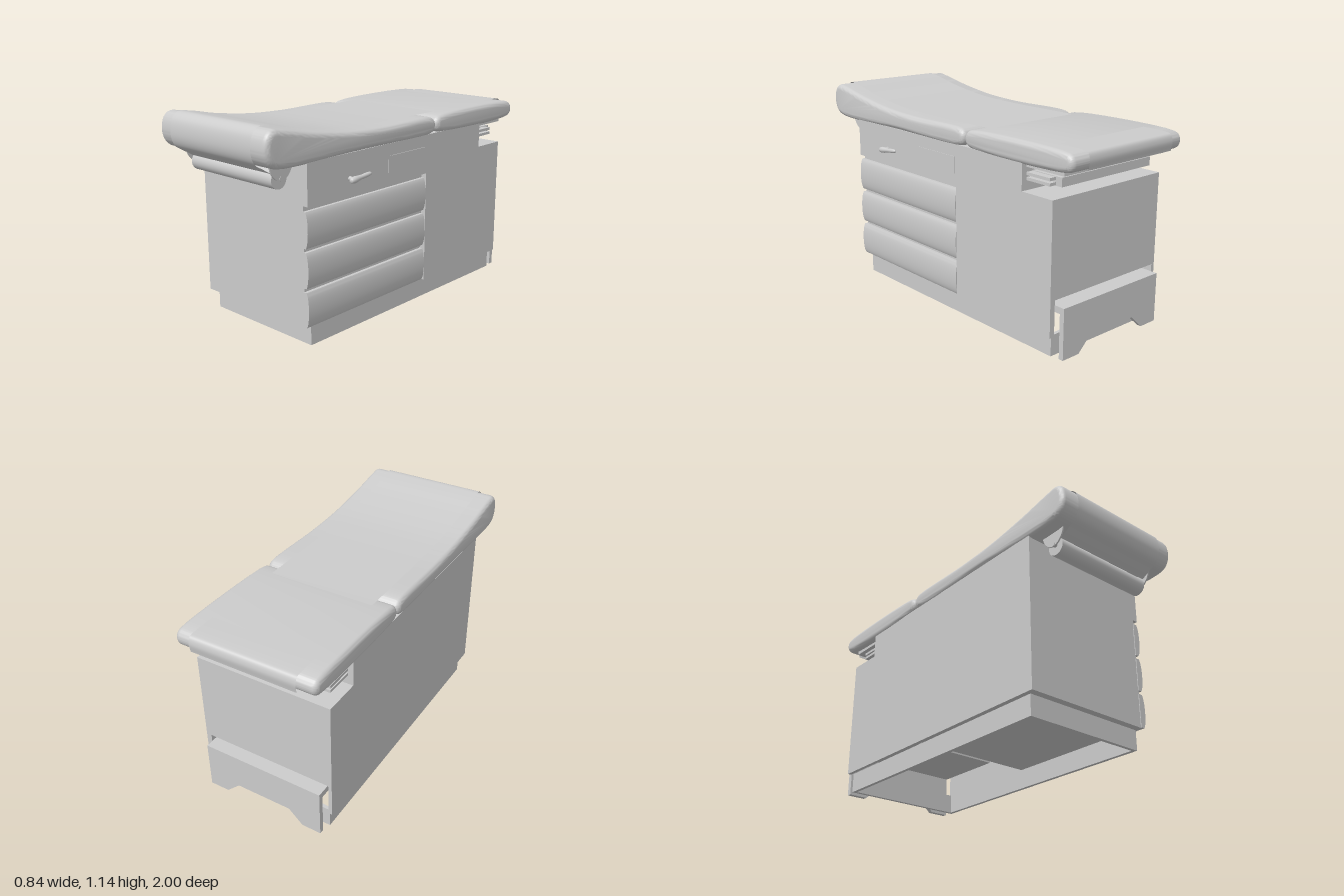
import * as THREE from 'three';
import { toCreasedNormals } from 'three/addons/utils/BufferGeometryUtils.js';

const grey = new THREE.MeshStandardMaterial({ color: 0xcccccc });
const thin = new THREE.MeshStandardMaterial({ color: 0xcccccc, side: THREE.DoubleSide });

export function createModel() {
  const group = new THREE.Group();

  const add = (name, geometry, material = grey) => {
    const mesh = new THREE.Mesh(geometry, material);
    mesh.name = name;
    group.add(mesh);
    return mesh;
  };
  // Box given by its limits on each axis
  const box = (name, x0, x1, y0, y1, z0, z1) =>
    add(name, new THREE.BoxGeometry(x1 - x0, y1 - y0, z1 - z0)
      .translate((x0 + x1) / 2, (y0 + y1) / 2, (z0 + z1) / 2));
  const toShape = (pts) => new THREE.Shape(pts.map(([a, b]) => new THREE.Vector2(a, b)));
  const smooth = (pts, closed, n) =>
    new THREE.CatmullRomCurve3(pts.map(([a, b]) => new THREE.Vector3(a, b, 0)), closed, 'centripetal')
      .getPoints(n).map((p) => [p.x, p.y]);
  // Side profile of [z, y] points, extruded across x
  const across = (name, pts, x0, x1, bevel = 0) => {
    const g = new THREE.ExtrudeGeometry(toShape(pts), {
      depth: x1 - x0 - 2 * bevel, bevelEnabled: bevel > 0,
      bevelSize: bevel, bevelThickness: bevel, bevelSegments: 6,
    });
    g.rotateY(-Math.PI / 2).translate(x1 - bevel, 0, 0);
    return add(name, toCreasedNormals(g, 0.7));
  };

  // Cabinet core, with a compartment at the lower back for the step
  across('cabinetCore', [[0.74, 0.11], [0.74, 0.945], [-0.655, 0.945], [-0.655, 0.8],
    [-0.86, 0.8], [-0.86, 0.3], [-0.15, 0.3], [-0.15, 0.11]], -0.39, 0.34);
  // Side panels; the drawer side leaves the drawer bay open
  across('plainSidePanel', [[0.74, 0.11], [0.74, 0.945], [-0.655, 0.945], [-0.655, 0.8],
    [-0.86, 0.8], [-0.86, 0.11]], -0.41, -0.39);
  across('drawerSidePanel', [[0.74, 0.73], [0.74, 0.945], [-0.655, 0.945], [-0.655, 0.8],
    [-0.86, 0.8], [-0.86, 0.11], [-0.16, 0.11], [-0.16, 0.73]], 0.34, 0.37);
  box('controlPanel', 0.365, 0.373, 0.79, 0.88, -0.15, 0.16);

  // Hollow plinth
  box('plinthSide', 0.32, 0.34, 0, 0.11, -0.84, 0.7);
  box('plinthSide', -0.383, -0.363, 0, 0.11, -0.84, 0.7);
  box('plinthFront', -0.363, 0.32, 0, 0.11, 0.68, 0.7);
  box('plinthBack', -0.363, 0.32, 0, 0.11, -0.84, -0.82);

  // Three drawers with bowed fronts
  for (let i = 0; i < 3; i++) {
    const y = 0.112 + i * 0.204, h = 0.184;
    const s = new THREE.Shape();
    s.moveTo(0.335, y);
    s.lineTo(0.357, y);
    s.bezierCurveTo(0.378, y + 0.03, 0.378, y + h - 0.03, 0.357, y + h);
    s.lineTo(0.335, y + h);
    const g = new THREE.ExtrudeGeometry(s, { depth: 0.9, bevelEnabled: false, curveSegments: 16 });
    add('drawer', toCreasedNormals(g.translate(0, 0, -0.156), 0.6));
  }

  // Lever handle above the drawers
  add('handleStem', new THREE.CylinderGeometry(0.009, 0.012, 0.045, 16)
    .rotateZ(-Math.PI / 2).translate(0.385, 0.817, 0.45));
  const lever = new THREE.LatheGeometry(
    smooth([[0, -0.025], [0.012, -0.02], [0.017, 0], [0.012, 0.05], [0.009, 0.12], [0, 0.13]], false, 24)
      .map(([r, y]) => new THREE.Vector2(Math.max(0, r), y)), 16);
  const handle = add('handleLever', lever);
  handle.rotation.x = -Math.PI / 2 + 0.1;
  handle.position.set(0.403, 0.815, 0.455);

  // Pull-out step at the back, with a notched front board
  box('stepTread', -0.37, 0.33, 0.235, 0.27, -0.9, -0.45);
  const board = toShape([[-0.37, 0], [-0.26, 0], [-0.18, 0.075], [0.14, 0.075],
    [0.22, 0], [0.33, 0], [0.33, 0.27], [-0.37, 0.27]]);
  add('stepBoard', new THREE.ExtrudeGeometry(board, { depth: 0.027, bevelEnabled: false })
    .translate(0, 0, -0.912));

  // Sliding shelf and rails under the back cushion
  box('cushionDeck', -0.38, 0.34, 0.915, 0.95, -0.9, -0.65);
  box('slidingShelf', -0.34, 0.3, 0.847, 0.893, -0.85, -0.65);
  for (const x of [-0.36, 0.32]) {
    box('shelfRail', x - 0.02, x + 0.02, 0.875, 0.89, -0.81, -0.65);
    box('shelfRail', x - 0.02, x + 0.02, 0.85, 0.865, -0.81, -0.65);
  }

  // Padded cushions; the front one rises to a headrest
  across('mainCushion', smooth([[-0.19, 0.972], [0.35, 0.972], [0.91, 0.972], [0.947, 0.987],
    [0.965, 1.025], [0.958, 1.08], [0.94, 1.098], [0.9, 1.094], [0.7, 1.055], [0.45, 1.02],
    [0.2, 1.007], [-0.19, 1.005], [-0.203, 0.997], [-0.203, 0.98]], true, 112), -0.42, 0.38, 0.03);
  across('footCushion', smooth([[-0.94, 0.972], [-0.28, 0.972], [-0.267, 0.98], [-0.267, 0.997],
    [-0.28, 1.005], [-0.94, 1.005], [-0.952, 0.997], [-0.952, 0.98]], true, 64), -0.42, 0.38, 0.03);

  // Paper sheet laid over the cushions and led down to its roll
  const path = smooth([[-0.99, 0.95], [-0.997, 1.0], [-0.985, 1.032], [-0.95, 1.04], [-0.25, 1.04],
    [0.2, 1.042], [0.45, 1.054], [0.7, 1.09], [0.88, 1.128], [0.95, 1.133], [0.988, 1.1],
    [1.0, 1.02], [0.98, 0.965], [0.93, 0.932], [0.875, 0.9]], false, 100);
  const sheet = new THREE.PlaneGeometry(1, 1, 1, path.length - 1);
  const pos = sheet.attributes.position;
  path.forEach(([z, y], i) => {
    pos.setXYZ(2 * i, -0.32, y, z);
    pos.setXYZ(2 * i + 1, 0.28, y, z);
  });
  sheet.computeVertexNormals();
  add('paperSheet', sheet, thin);

  // Paper roll on its spindle, with a half-round bracket at each end
  add('paperRoll', new THREE.CylinderGeometry(0.048, 0.048, 0.6, 32)
    .rotateZ(Math.PI / 2).translate(-0.02, 0.868, 0.835));
  add('rollSpindle', new THREE.CylinderGeometry(0.012, 0.012, 0.64, 16)
    .rotateZ(Math.PI / 2).translate(-0.02, 0.875, 0.835));
  const bracket = smooth([[0.762, 0.945], [0.775, 0.905], [0.805, 0.872], [0.835, 0.862],
    [0.865, 0.872], [0.895, 0.905], [0.908, 0.945]], false, 24);
  for (const x of [-0.338, 0.29]) across('rollBracket', bracket, x, x + 0.008);

  return group;
}
